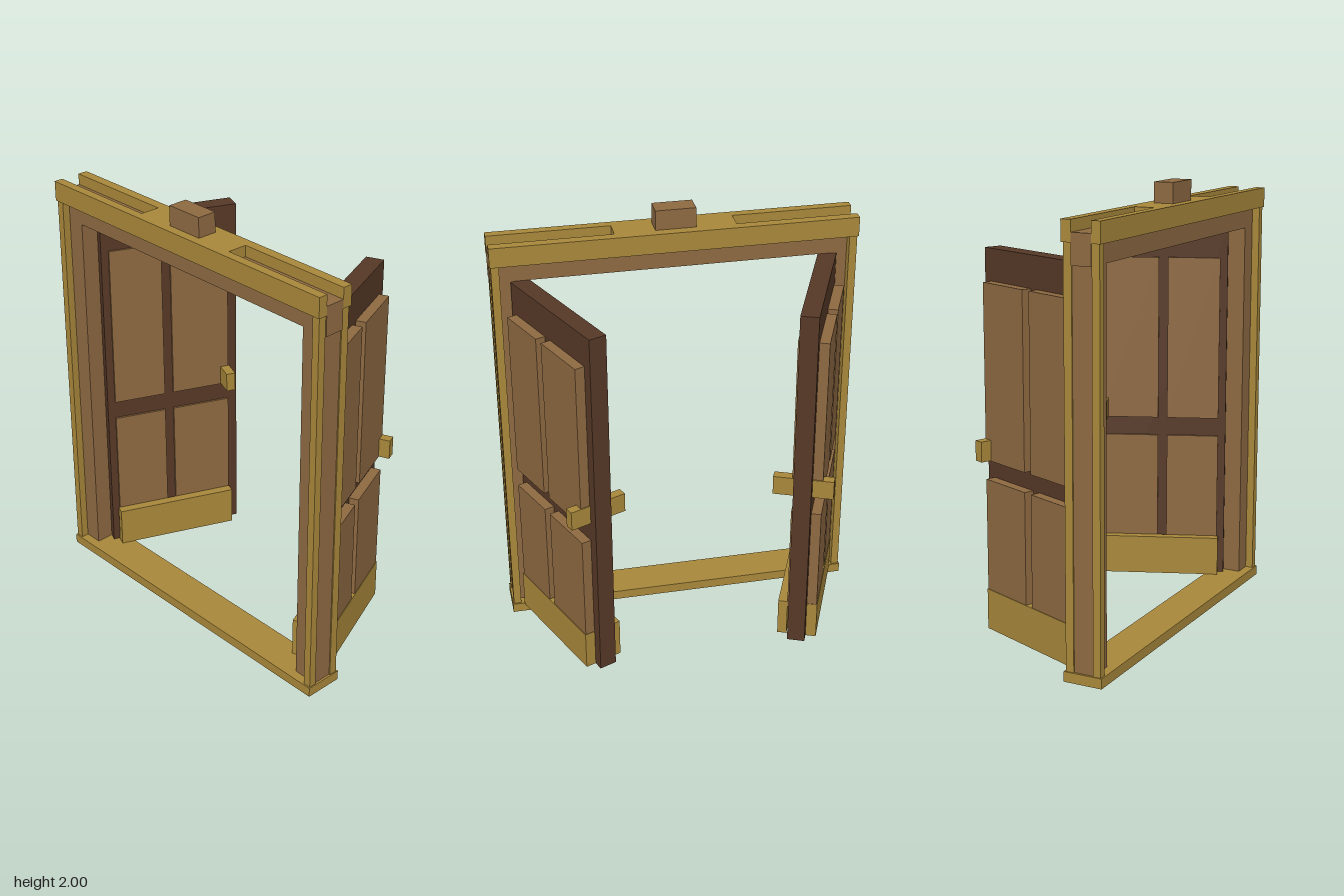
import * as THREE from 'three';

const mat = (name, color) => {
  const m = new THREE.MeshStandardMaterial({ color });
  m.name = name;
  return m;
};

export function createModel() {
  const brass = mat('brass', 0xa8873a);
  const wood = mat('wood', 0x8d6941);
  const darkWood = mat('dark wood', 0x563826);

  const model = new THREE.Group();
  model.name = 'doubleDoor';

  // Box given by its minimum and maximum on each axis; side -1 mirrors it in x
  const box = (parent, name, material, [x0, x1], [y0, y1], [z0, z1], side = 1) => {
    const mesh = new THREE.Mesh(new THREE.BoxGeometry(x1 - x0, y1 - y0, z1 - z0), material);
    mesh.position.set(side * (x0 + x1) / 2, (y0 + y1) / 2, (z0 + z1) / 2);
    mesh.name = name;
    parent.add(mesh);
  };

  const frame = new THREE.Group();
  frame.name = 'frame';
  model.add(frame);
  const W = 0.815, core = [0.235, 0.325];
  const backLip = [0.19, 0.235], frontLip = [0.325, 0.367];

  // Sill with a hollow underside
  box(frame, 'sillPlate', brass, [-W, W], [0.02, 0.045], [0.19, 0.367]);
  box(frame, 'sillFrontLip', brass, [-W, W], [0, 0.02], frontLip);
  box(frame, 'sillBackLip', brass, [-W, W], [0, 0.02], backLip);

  // Lintel with open channels at both ends of the top
  box(frame, 'lintel', wood, [-W, W], [1.73, 1.86], core);
  box(frame, 'headerFront', brass, [-W, W], [1.82, 1.91], frontLip);
  box(frame, 'headerBack', brass, [-W, W], [1.82, 1.91], backLip);
  box(frame, 'headerCentre', brass, [-0.27, 0.27], [1.86, 1.91], core);
  box(frame, 'keystone', wood, [-0.09, 0.09], [1.91, 2], core);

  for (const side of [1, -1]) {
    // Jamb with trim strips on front and back
    box(frame, 'jamb', wood, [0.69, 0.805], [0.045, 1.73], core, side);
    box(frame, 'jambFoot', wood, [0.7, 0.78], [0.008, 0.02], core, side);
    box(frame, 'sillEnd', brass, [0.78, W], [0, 0.02], core, side);
    box(frame, 'trimFront', brass, [0.775, 0.81], [0.045, 1.82], [0.325, 0.36], side);
    box(frame, 'trimBack', brass, [0.775, 0.81], [0.045, 1.82], [0.198, 0.235], side);

    // Door leaf standing open; x runs from the free edge (-L) to the hinge (0)
    const door = new THREE.Group();
    door.name = side > 0 ? 'leftDoor' : 'rightDoor';
    door.position.set(side * 0.689, 0, 0.242);
    door.rotation.y = -side * THREE.MathUtils.degToRad(67.5);
    model.add(door);
    const L = 0.645, T = 0.0405;
    const along = (a, b) => [a - L, b - L];

    box(door, 'leaf', darkWood, [-L, 0], [0.045, 1.73], [-T, T], side);

    // Four panels per face: thick outside, shallow inside
    for (const span of [along(0.045, 0.322), along(0.365, 0.61)]) {
      for (const height of [[0.2, 0.73], [0.817, 1.59]]) {
        box(door, 'outerPanel', wood, span, height, [-T - 0.045, -T], side);
        box(door, 'innerPanel', wood, span, height, [T, T + 0.01], side);
      }
    }

    // Kick plates and handles on both faces
    const kick = along(0.043, 0.617), grip = along(0.04, 0.083);
    box(door, 'outerKickPlate', brass, kick, [0.047, 0.23], [-T - 0.048, -T], side);
    box(door, 'innerKickPlate', brass, kick, [0.047, 0.23], [T + 0.009, T + 0.052], side);
    box(door, 'outerHandle', brass, grip, [0.82, 0.91], [-T - 0.095, -T], side);
    box(door, 'innerHandle', brass, grip, [0.82, 0.91], [T, T + 0.095], side);
  }
  return model;
}
